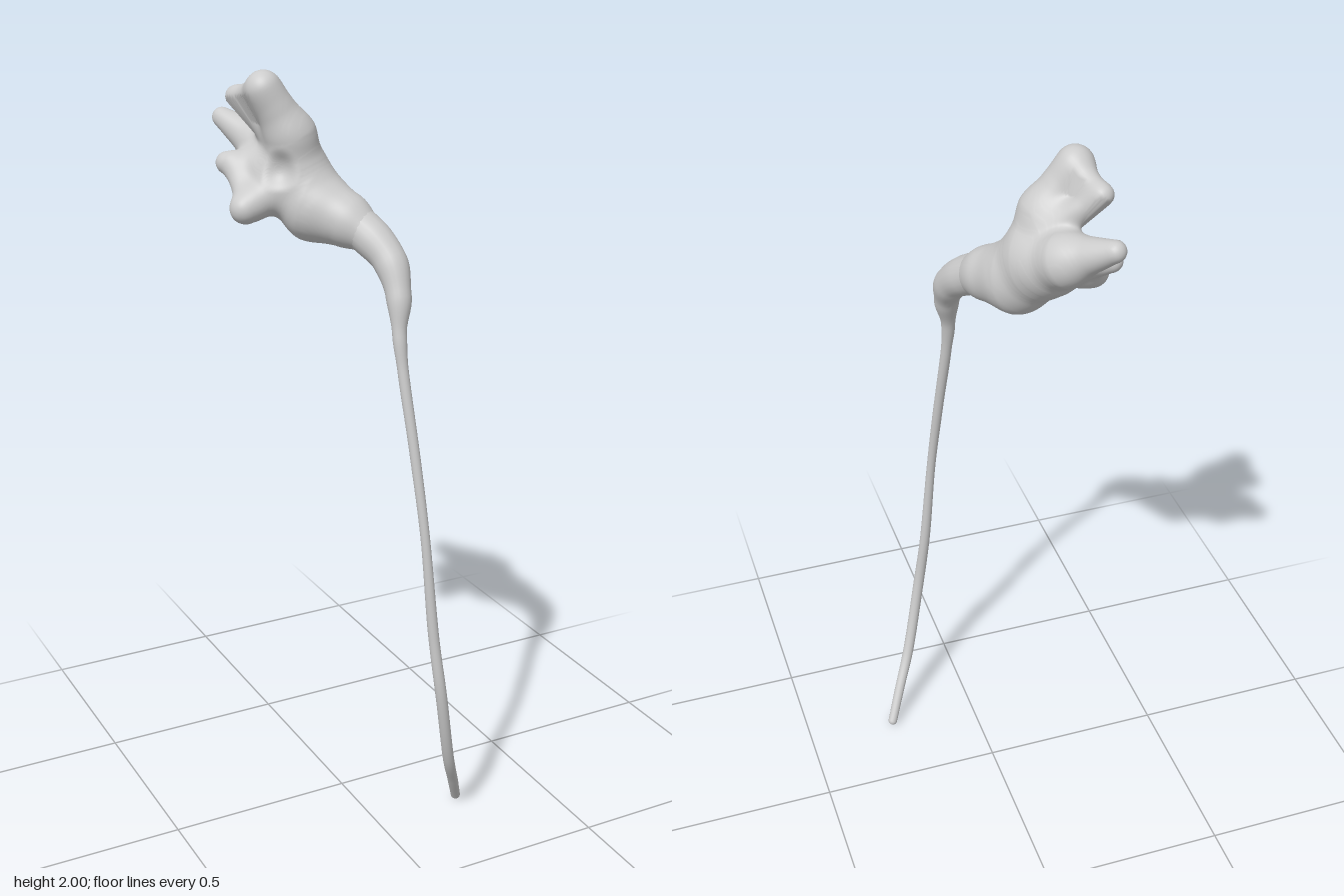
import * as THREE from 'three';
import { mergeVertices } from 'three/addons/utils/BufferGeometryUtils.js';

const material = new THREE.MeshStandardMaterial({ color: 0xcccccc, side: THREE.DoubleSide });
const V = (p) => new THREE.Vector3(p[0], p[1], p[2]);

// Weld seams and shade smoothly
function smooth(geometry) {
  geometry.deleteAttribute('uv');
  geometry.deleteAttribute('normal');
  const welded = mergeVertices(geometry, 1e-5);
  welded.computeVertexNormals();
  return welded;
}

// Tube along points [x, y, z, radius], the radius varying smoothly between them
function taperedTube(points, segments, sides) {
  const curve = new THREE.CatmullRomCurve3(points.map(V));
  const geometry = new THREE.TubeGeometry(curve, segments, 1, sides);
  const pos = geometry.attributes.position;
  const v = new THREE.Vector3();
  for (let i = 0; i <= segments; i++) {
    const centre = curve.getPointAt(i / segments);
    const t = curve.getUtoTmapping(i / segments) * (points.length - 1);
    const k = Math.min(Math.floor(t), points.length - 2);
    const r = THREE.MathUtils.lerp(points[k][3], points[k + 1][3], THREE.MathUtils.smoothstep(t - k, 0, 1));
    for (let j = 0; j <= sides; j++) {
      const n = i * (sides + 1) + j;
      v.fromBufferAttribute(pos, n).sub(centre).multiplyScalar(r).add(centre);
      pos.setXYZ(n, v.x, v.y, v.z);
    }
  }
  return smooth(geometry);
}

// Stem from its foot to the swollen neck, ending inside the head: x, y, z, radius
const STEM = [
  [0.25, 0.013, 0.21, 0.013], [0.212, 0.1, 0.255, 0.014], [0.17, 0.2, 0.3, 0.015],
  [0.122, 0.42, 0.335, 0.015], [0.1, 0.6, 0.325, 0.014], [0.08, 0.88, 0.305, 0.012],
  [0.065, 1.1, 0.27, 0.013], [0.052, 1.3, 0.23, 0.014], [0.05, 1.39, 0.213, 0.018],
  [0.06, 1.48, 0.188, 0.032], [0.06, 1.555, 0.143, 0.043], [0.036, 1.607, 0.083, 0.05],
  [0.003, 1.64, 0.025, 0.056], [-0.04, 1.675, -0.04, 0.05],
];

// Lobes of the flower head, each a chain of x, y, z, radius
const LOBES = [
  [[0.033, 1.61, 0.08, 0.044], [0, 1.64, 0.02, 0.062], [-0.045, 1.665, -0.05, 0.085],
    [-0.085, 1.735, -0.11, 0.09]], // base
  [[-0.085, 1.74, -0.12, 0.085], [-0.107, 1.785, -0.21, 0.06], [-0.178, 1.852, -0.32, 0.026]], // back petal
  [[-0.075, 1.74, -0.08, 0.068], [-0.1, 1.84, -0.08, 0.058], [-0.165, 1.957, -0.09, 0.042]], // upper petal
  [[-0.1, 1.82, -0.12, 0.045], [-0.192, 1.925, -0.195, 0.02], [-0.165, 1.95, -0.1, 0.035]], // upper petal's rim
  [[-0.12, 1.71, -0.1, 0.06], [-0.222, 1.667, -0.09, 0.037]], // lower petal
  [[-0.13, 1.74, -0.14, 0.065], [-0.218, 1.76, -0.21, 0.025]], // side petal
  [[-0.205, 1.675, -0.1, 0.03], [-0.21, 1.76, -0.19, 0.022]], // web between lower and side petals
];
// Hollow pressed in between the upper and lower petals
const HOLLOW = { centre: new THREE.Vector3(-0.16, 1.765, -0.03), radius: 0.035 };

const CONES = LOBES.flatMap((lobe) => lobe.slice(1).map((end, i) => ({
  a: V(lobe[i]), d: V(end).sub(V(lobe[i])), ra: lobe[i][3], rb: end[3],
})));
const q = new THREE.Vector3();

function smoothMin(a, b, k) {
  const h = Math.max(k - Math.abs(a - b), 0) / k;
  return Math.min(a, b) - h * h * k * 0.25;
}

// Signed distance to the blended lobes, less the hollow
function field(p) {
  let d = 1;
  for (const c of CONES) {
    q.copy(p).sub(c.a);
    const t = THREE.MathUtils.clamp(q.dot(c.d) / c.d.lengthSq(), 0, 1);
    d = smoothMin(d, q.addScaledVector(c.d, -t).length() - THREE.MathUtils.lerp(c.ra, c.rb, t), 0.03);
  }
  return -smoothMin(-d, p.distanceTo(HOLLOW.centre) - HOLLOW.radius, 0.025);
}

// Sphere whose vertices are drawn in along their rays onto the blended surface
function headGeometry() {
  const centre = new THREE.Vector3(-0.1, 1.76, -0.12);
  const geometry = smooth(new THREE.IcosahedronGeometry(1, 50));
  const pos = geometry.attributes.position;
  const dir = new THREE.Vector3(), p = new THREE.Vector3();
  for (let i = 0; i < pos.count; i++) {
    dir.fromBufferAttribute(pos, i).normalize();
    let r = 0.45;
    for (let step = 0; step < 80; step++) {
      const d = field(p.copy(centre).addScaledVector(dir, r));
      if (d < 0.0003) break;
      r -= d * 0.7;
    }
    p.copy(centre).addScaledVector(dir, r);
    pos.setXYZ(i, p.x, p.y, p.z);
  }
  geometry.computeVertexNormals();
  return geometry;
}

export function createModel() {
  const group = new THREE.Group();
  group.name = 'stalkedFlower';
  const add = (name, geometry) => {
    const mesh = new THREE.Mesh(geometry, material);
    mesh.name = name;
    group.add(mesh);
    return mesh;
  };
  add('stem', taperedTube(STEM, 160, 20));
  add('stemFoot', new THREE.SphereGeometry(STEM[0][3], 20, 12)).position.copy(V(STEM[0]));
  add('flowerHead', headGeometry());
  return group;
}
